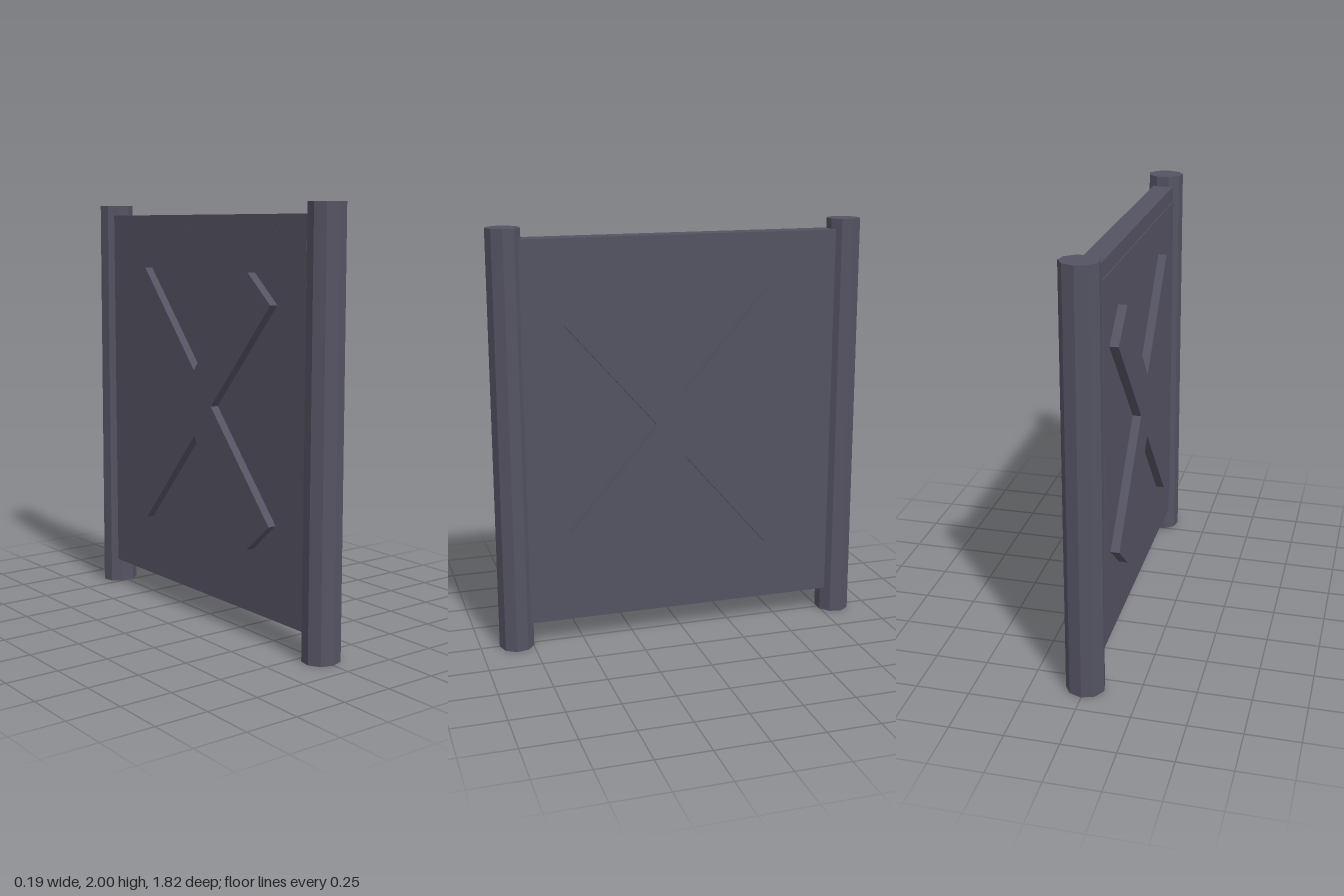
import * as THREE from 'three';

export function createModel() {
  const slate = new THREE.MeshStandardMaterial({ color: 0x545362 });
  slate.name = 'slate';
  const pale = new THREE.MeshStandardMaterial({ color: 0xe2dedd });
  pale.name = 'paleUnderside';

  const model = new THREE.Group();
  model.name = 'barrier';
  const add = (name, geometry, material, x = 0, y = 0, z = 0) => {
    const mesh = new THREE.Mesh(geometry, material);
    mesh.name = name;
    mesh.position.set(x, y, z);
    model.add(mesh);
    return mesh;
  };

  // Main panel, pale on its underside
  add('panel', new THREE.BoxGeometry(0.1, 1.83, 1.56),
    [slate, slate, slate, pale, slate, slate], 0, 1.035, 0);

  // Shallow inner panel on one side
  add('innerPanel', new THREE.BoxGeometry(0.008, 1.69, 1.42), slate, -0.05, 1.03, 0.05);

  // Nine-sided end posts, slightly tapered, with a point facing outward
  for (const side of [1, -1]) {
    const post = new THREE.CylinderGeometry(0.087, 0.091, 2, 9).toNonIndexed();
    post.rotateY(side > 0 ? 0 : Math.PI);
    post.scale(1, 1, 0.92);
    post.computeVertexNormals();
    // Groups: side wall, top cap, bottom cap
    post.clearGroups();
    post.addGroup(0, 54, 0);
    post.addGroup(54, 27, 1);
    post.addGroup(81, 27, 2);
    add(side > 0 ? 'frontPost' : 'backPost', post,
      [slate, slate, side > 0 ? slate : pale], 0, 1, side * 0.826);
  }

  // Diagonal cross, one piece passing through the panel
  const quarter = [[0.135, 0], [0.57, 0.495], [0.41, 0.633], [0, 0.16]];
  const mirror = (sx, sy) => quarter.map(([x, y]) => new THREE.Vector2(x * sx, y * sy));
  const outline = [
    ...mirror(1, 1),
    ...mirror(-1, 1).reverse().slice(1),
    ...mirror(-1, -1).slice(1),
    ...mirror(1, -1).reverse().slice(1, -1),
  ];
  const cross = new THREE.ExtrudeGeometry(new THREE.Shape(outline), { depth: 0.19, bevelEnabled: false });
  cross.translate(0, 0, -0.095);
  cross.rotateY(Math.PI / 2);
  add('cross', cross, slate, 0, 1.06, 0);

  return model;
}
